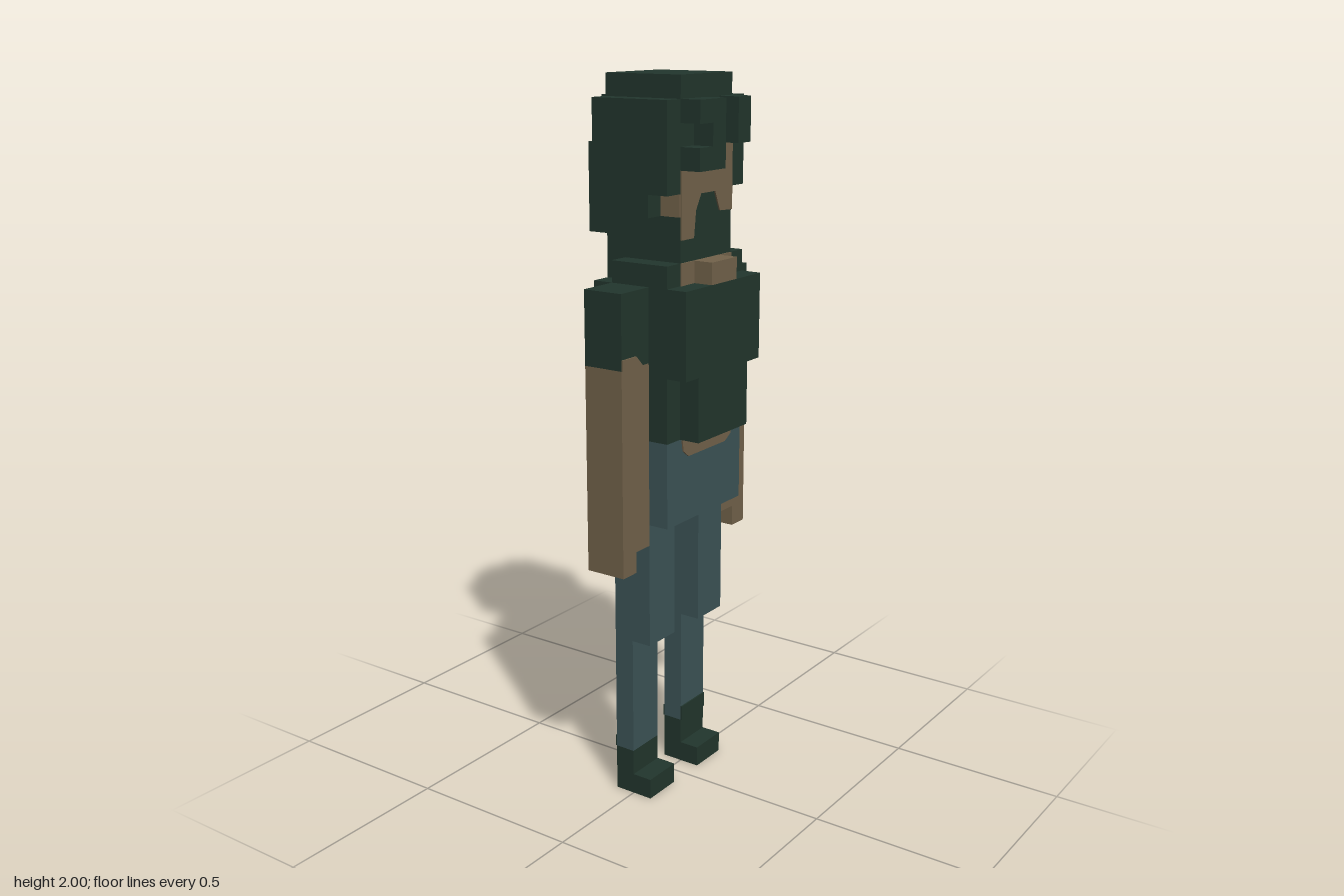
import * as THREE from 'three';

const U = 2 / 34; // one block
const P = 0.07;   // paint plate thickness, in blocks

const mat = (name, color) => {
  const m = new THREE.MeshStandardMaterial({ color });
  m.name = name;
  return m;
};

export function createModel() {
  const dark = mat('darkGreen', 0x22362d);
  const skin = mat('tanSkin', 0x73634b);
  const teal = mat('tealDenim', 0x3d5457);

  const root = new THREE.Group();
  root.name = 'blockFigure';
  const group = (name) => {
    const g = new THREE.Group();
    g.name = name;
    root.add(g);
    return g;
  };

  // Box given by its ranges in blocks
  const box = (g, name, m, x0, x1, y0, y1, z0, z1) => {
    const geo = new THREE.BoxGeometry((x1 - x0) * U, (y1 - y0) * U, (z1 - z0) * U);
    const mesh = new THREE.Mesh(geo, m);
    mesh.position.set((x0 + x1) / 2 * U, (y0 + y1) / 2 * U, (z0 + z1) / 2 * U);
    mesh.name = name;
    g.add(mesh);
  };
  // The same box on both sides
  const pair = (g, name, m, x0, x1, ...r) => {
    box(g, name + 'Left', m, x0, x1, ...r);
    box(g, name + 'Right', m, -x1, -x0, ...r);
  };
  // Thin painted outline facing front, points in blocks
  const plate = (g, name, m, z, pts) => {
    const shape = new THREE.Shape(pts.map(([x, y]) => new THREE.Vector2(x * U, y * U)));
    const geo = new THREE.ExtrudeGeometry(shape, { depth: P * U, bevelEnabled: false });
    const mesh = new THREE.Mesh(geo, m);
    mesh.position.z = z * U;
    mesh.name = name;
    g.add(mesh);
  };

  // Head with face paint
  const head = group('head');
  box(head, 'skull', dark, -2, 2, 26, 34, -2, 2);
  plate(head, 'face', skin, 2, [
    [-2, 27], [-1.05, 27], [-0.9, 28.2], [-0.5, 28.9], [0.6, 28.9], [1, 28],
    [2, 27.95], [2, 31], [0.9, 31], [0.6, 30.4], [0, 30.1], [-2, 30.1],
  ]);
  pair(head, 'cheek', skin, 2, 2 + P, 28, 29, 1, 2);
  box(head, 'nape', skin, -1.8, 1.2, 26.1, 27.1, -2 - P, -2);

  // Hair
  const hair = group('hair');
  pair(hair, 'sideHair', dark, 2, 3, 28, 33, -2, 1);
  pair(hair, 'temple', dark, 2, 3, 29, 33, 1, 2);
  box(hair, 'fringeMain', dark, -1, 0, 30, 33, 2, 3);
  box(hair, 'fringeUpper', dark, -2, -1, 32, 33, 2, 3);
  box(hair, 'fringeLower', dark, -2, -1, 30, 31, 2, 3);
  box(hair, 'fringeLeft', dark, 1, 2, 31, 33, 2, 3);
  box(hair, 'backHairMiddle', dark, -1, 1, 28, 33, -3, -2);
  pair(hair, 'backHairSide', dark, 1, 2, 28, 31, -3, -2);
  box(hair, 'backHairTip', dark, -2, 0, 27, 28, -3, -2);

  // Torso
  const torso = group('torso');
  box(torso, 'shirt', dark, -3, 3, 19, 25, -2, 2);
  box(torso, 'shirtWaist', dark, -2, 2, 18, 19, -2, 2);
  pair(torso, 'waistSide', dark, 2, 3, 18, 19, -1, 2);
  box(torso, 'chest', dark, -3, 3, 21, 25, 2, 3);
  box(torso, 'belly', dark, -2, 2, 18, 21, 2, 3);
  box(torso, 'collar', dark, -2, 2, 25, 26, -2, 2);
  pair(torso, 'shoulder', dark, 2, 3, 25, 26, -1, 2);
  box(torso, 'neckSkin', skin, -2, 2, 25, 26, 2, 2 + P);
  box(torso, 'neckBlock', skin, -1, 1, 25, 26, 2, 3);

  // Hips
  const hips = group('hips');
  box(hips, 'trouserTop', teal, -3, 3, 14, 17.2, -2, 2);
  box(hips, 'waistband', teal, -3, 3, 17.2, 18, -1, 2);
  box(hips, 'shirtTail', dark, -3, 3, 17.2, 18, -2, -1);
  plate(hips, 'bareWaist', skin, 2, [
    [-1.9, 18], [-1.8, 17.4], [-1.4, 17.1], [1.6, 17.1], [2.1, 17.4], [2.2, 18],
  ]);

  // Arms, with a notch at the back of each elbow
  const arms = group('arms');
  pair(arms, 'sleeve', dark, 3, 5, 21.6, 25, -1, 1);
  pair(arms, 'upperArm', skin, 3, 5, 19, 21.6, -1, 1);
  pair(arms, 'elbowOuter', skin, 4, 5, 18, 19, -1, 1);
  pair(arms, 'elbowInner', skin, 3, 4, 18, 19, 0, 1);
  pair(arms, 'forearm', skin, 3, 5, 13, 18, -1, 1);
  pair(arms, 'hand', skin, 4, 5, 12, 13, -1, 1);
  for (const s of [1, -1]) {
    const pts = [[3.5, 21.6], [5, 21.6], [5, 22.1], [4, 22.1]].map(([x, y]) => [s * x, y]);
    plate(arms, 'sleeveEdge', skin, 1, pts);
  }

  // Legs and boots
  const legs = group('legs');
  pair(legs, 'thigh', teal, 1, 3, 8, 14, -1, 1);
  pair(legs, 'shin', teal, 1, 3, 2.25, 8, -1, 0);
  pair(legs, 'boot', dark, 1, 3, 1, 2.25, -1, 0);
  pair(legs, 'foot', dark, 1, 3, 0, 1, -1, 1);
  box(legs, 'bootFrontLeft', dark, 1, 3, 2.25, 3, 0, P);
  pair(legs, 'bootBack', dark, 1, 3, 2.25, 2.8, -1 - P, -1);

  return root;
}
